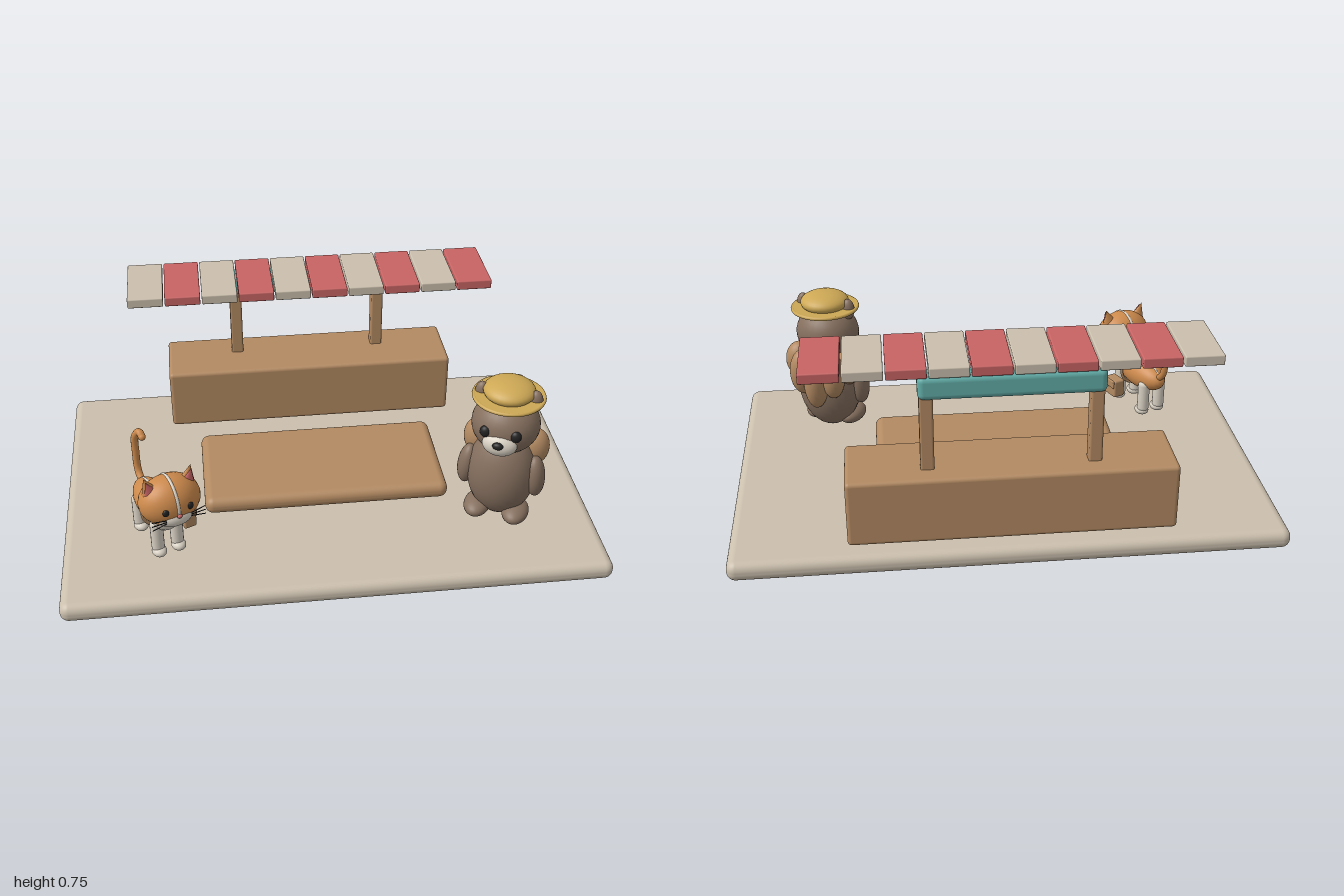
import * as THREE from 'three';
import { RoundedBoxGeometry } from 'three/addons/geometries/RoundedBoxGeometry.js';

const mat = (name, color) => {
  const m = new THREE.MeshStandardMaterial({ color });
  m.name = name;
  return m;
};
const cream = mat('cream', 0xcbbfad);
const wood = mat('wood', 0xb38a62);
const teal = mat('teal', 0x62ada8);
const red = mat('red', 0xc96464);
const fur = mat('brown fur', 0x86705f);
const straw = mat('straw', 0xcda855);
const orange = mat('orange fur', 0xcd8a4c);
const white = mat('white fur', 0xd9d1c4);
const black = mat('black', 0x222222);

function add(parent, name, geo, material, pos = [0, 0, 0], rot = [0, 0, 0]) {
  const m = new THREE.Mesh(geo, material);
  m.name = name;
  m.position.set(...pos);
  m.rotation.set(...rot);
  parent.add(m);
  return m;
}
// Rounded box given by its min and max corners
function block(parent, name, min, max, r, material) {
  const s = max.map((v, i) => v - min[i]);
  const c = max.map((v, i) => (v + min[i]) / 2);
  return add(parent, name, new RoundedBoxGeometry(...s, 4, r), material, c);
}
function ball(parent, name, pos, radii, material, rot) {
  const m = add(parent, name, new THREE.SphereGeometry(1, 28, 20), material, pos, rot);
  m.scale.set(...radii);
  return m;
}

function buildStall() {
  const g = new THREE.Group();
  g.name = 'stall';
  block(g, 'counter', [-0.58, 0.107, -0.637], [0.578, 0.357, -0.363], 0.015, wood);
  for (const s of [-1, 1]) {
    const x = s * 0.292;
    block(g, 'post', [x - 0.024, 0.075, -0.566], [x + 0.024, 0.65, -0.513], 0.008, wood);
  }
  block(g, 'beam', [-0.322, 0.628, -0.582], [0.32, 0.717, -0.502], 0.022, teal);
  // Striped awning
  for (let i = 0; i < 10; i++) {
    const x = -0.716 + i * 0.1432;
    block(g, 'awningSlat', [x, 0.714, -0.584], [x + 0.137, 0.752, -0.292], 0.005, i % 2 ? red : cream);
  }
  return g;
}

function buildBear() {
  const g = new THREE.Group();
  g.name = 'bear';
  ball(g, 'torso', [0, 0.275, 0], [0.13, 0.185, 0.112], fur);
  ball(g, 'head', [0, 0.497, 0.01], [0.126, 0.113, 0.115], fur);
  for (const s of [-1, 1]) {
    ball(g, 'arm', [s * 0.128, 0.285, 0.012], [0.037, 0.086, 0.044], fur, [0, 0, s * 0.08]);
    ball(g, 'foot', [s * 0.073, 0.127, 0.04], [0.05, 0.035, 0.075], fur);
    ball(g, 'ear', [s * 0.098, 0.607, 0.005], [0.026, 0.042, 0.022], fur);
    ball(g, 'eye', [s * 0.055, 0.507, 0.106], [0.021, 0.023, 0.017], black);
  }
  ball(g, 'muzzle', [0, 0.463, 0.105], [0.064, 0.046, 0.04], white);
  ball(g, 'nose', [0, 0.477, 0.142], [0.02, 0.014, 0.013], black);
  // Rounded plumes fanned around the back
  for (let i = -2; i <= 2; i++) {
    const a = i * 0.6, k = Math.abs(i);
    ball(g, 'backLobe', [Math.sin(a) * 0.115, 0.33 + k * 0.025, -Math.cos(a) * 0.115],
      [0.048, 0.115 - k * 0.02, 0.055], wood, [0, -a, 0]);
  }
  // Straw hat
  add(g, 'hatBrim', new THREE.CylinderGeometry(0.128, 0.128, 0.012, 40), straw, [0, 0.607, 0]);
  add(g, 'hatRim', new THREE.TorusGeometry(0.127, 0.007, 8, 40), straw, [0, 0.607, 0], [Math.PI / 2, 0, 0]);
  ball(g, 'hatCrown', [0, 0.63, 0], [0.095, 0.04, 0.095], straw);
  g.position.set(0.643, 0, 0.308);
  g.rotation.y = -0.45;
  return g;
}

function buildCat() {
  const g = new THREE.Group();
  g.name = 'cat';
  ball(g, 'body', [0, 0.25, -0.01], [0.065, 0.065, 0.14], orange);
  ball(g, 'chest', [0, 0.26, 0.085], [0.056, 0.062, 0.055], white);
  ball(g, 'backStripe', [0, 0.251, -0.01], [0.018, 0.068, 0.138], white);
  for (const s of [-1, 1]) for (const z of [-0.085, 0.085]) {
    add(g, 'leg', new THREE.CapsuleGeometry(0.024, 0.1, 6, 16), white, [s * 0.038, 0.175, z]);
    ball(g, 'paw', [s * 0.038, 0.11, z + 0.008], [0.027, 0.02, 0.032], white);
  }
  // Head with a white blaze
  const head = new THREE.Group();
  head.name = 'catHead';
  head.position.set(0, 0.368, 0.14);
  g.add(head);
  ball(head, 'skull', [0, 0, 0], [0.114, 0.094, 0.086], orange);
  ball(head, 'blaze', [0, 0, 0], [0.022, 0.097, 0.089], white);
  ball(head, 'muzzle', [0, -0.04, 0.035], [0.072, 0.043, 0.054], white);
  ball(head, 'nose', [0, -0.018, 0.089], [0.01, 0.007, 0.007], red);
  for (const s of [-1, 1]) {
    const ear = add(head, 'ear', new THREE.ConeGeometry(0.034, 0.07, 20), orange, [s * 0.078, 0.083, 0], [0, 0, -s * 0.3]);
    ear.scale.z = 0.6;
    const inner = add(head, 'innerEar', new THREE.ConeGeometry(0.025, 0.055, 20), red, [s * 0.078, 0.081, 0.011], [0, 0, -s * 0.3]);
    inner.scale.z = 0.5;
    ball(head, 'eye', [s * 0.046, 0.004, 0.077], [0.012, 0.014, 0.008], black);
    for (const k of [-1, 0, 1]) {
      add(head, 'whisker', new THREE.CylinderGeometry(0.0018, 0.0018, 0.055, 6), black,
        [s * 0.074, -0.033 + k * 0.012, 0.08], [0, 0, Math.PI / 2 + s * k * 0.2]);
    }
  }
  // Upright tail
  const path = new THREE.CatmullRomCurve3([
    [0, 0.26, -0.12], [0, 0.3, -0.158], [0, 0.38, -0.165], [0, 0.45, -0.157], [0.01, 0.483, -0.132], [0.012, 0.47, -0.115],
  ].map(p => new THREE.Vector3(...p)));
  add(g, 'tail', new THREE.TubeGeometry(path, 30, 0.014, 12), orange);
  ball(g, 'tailTip', [0.012, 0.47, -0.115], [0.014, 0.014, 0.014], orange);
  // Side satchel with a flap and strap
  block(g, 'satchel', [0.075, 0.147, 0.0], [0.125, 0.222, 0.075], 0.008, wood);
  block(g, 'satchelFlap', [0.12, 0.188, 0.005], [0.13, 0.22, 0.07], 0.004, wood);
  add(g, 'satchelStrap', new THREE.TorusGeometry(0.069, 0.006, 8, 32), wood, [0, 0.25, 0.035]);
  g.position.set(-0.645, 0, 0.33);
  g.rotation.y = 0.4;
  return g;
}

export function createModel() {
  const g = new THREE.Group();
  g.name = 'marketScene';
  block(g, 'ground', [-1, 0, -0.665], [1, 0.075, 0.665], 0.034, cream);
  block(g, 'lowTable', [-0.468, 0.085, -0.23], [0.467, 0.154, 0.226], 0.032, wood);
  g.add(buildStall(), buildBear(), buildCat());
  return g;
}
